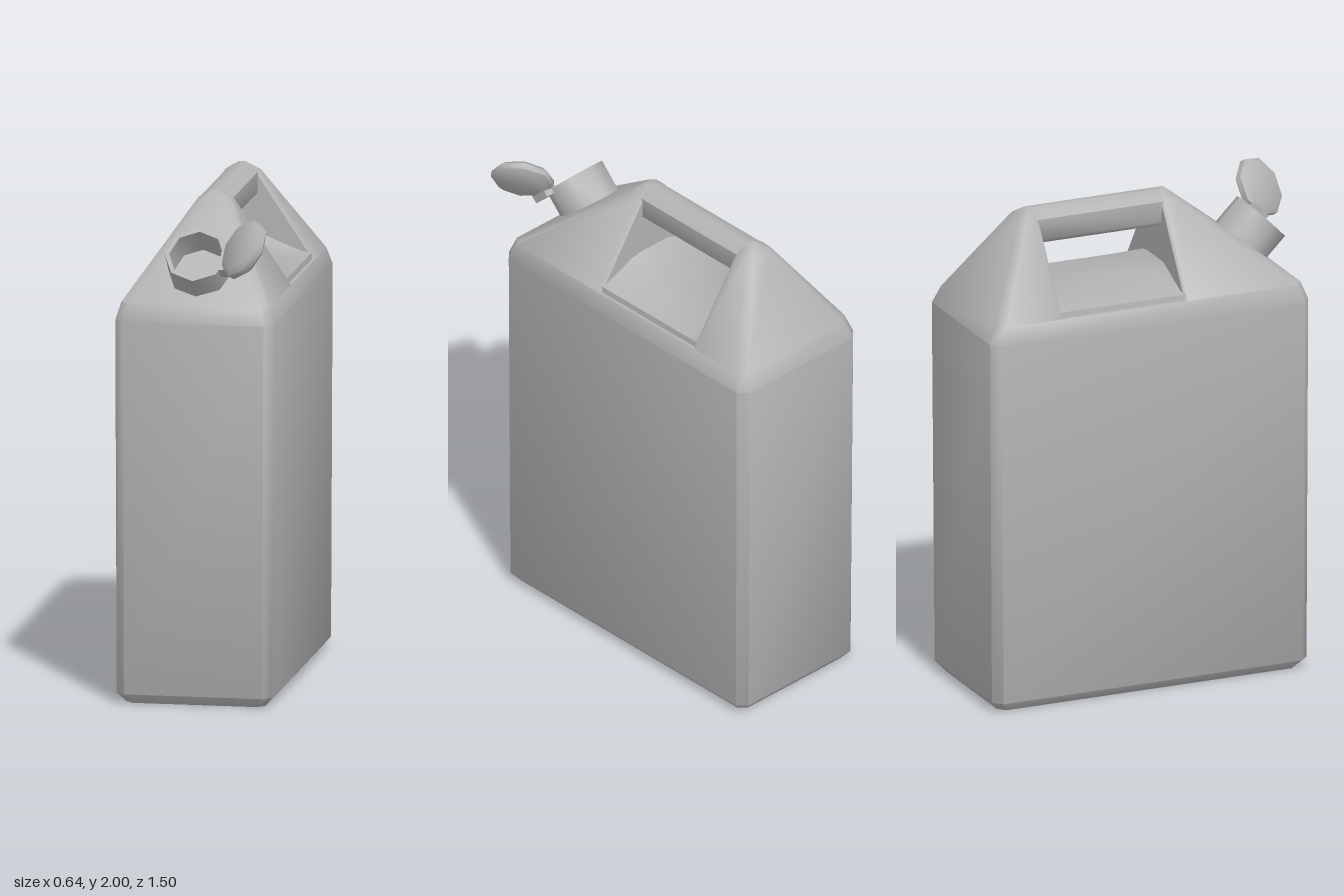
import * as THREE from 'three';
import { mergeGeometries, toCreasedNormals } from 'three/addons/utils/BufferGeometryUtils.js';

// Closed skin over rings of equal length, each counterclockwise seen from the far end
function loft(rings) {
  const n = rings[0].length, index = [];
  for (let r = 0; r < rings.length - 1; r++) {
    for (let i = 0; i < n; i++) {
      const a = r * n + i, b = r * n + (i + 1) % n;
      index.push(a, b, b + n, a, b + n, a + n);
    }
  }
  const last = (rings.length - 1) * n;
  for (let i = 1; i < n - 1; i++) {
    index.push(0, i + 1, i, last, last + i, last + i + 1);
  }
  const g = new THREE.BufferGeometry();
  g.setAttribute('position', new THREE.Float32BufferAttribute(rings.flat(2), 3));
  g.setIndex(index);
  return g;
}

// Horizontal rectangle with cut corners: half width, back z, front z, back cut, front cut
function ring(y, hx, z0, z1, cb, cf) {
  return [
    [hx, z1 - cf], [hx, z0 + cb], [hx - cb, z0], [cb - hx, z0],
    [-hx, z0 + cb], [-hx, z1 - cf], [cf - hx, z1], [hx - cf, z1],
  ].map(([x, z]) => [x, y, z]);
}

// Upright section: the right half from bottom to top, mirrored to the other side
function section(z, half) {
  const mirrored = half.filter(([x]) => x > 0).reverse().map(([x, y]) => [-x, y]);
  return [...half, ...mirrored].map(([x, y]) => [x, y, z]);
}

export function createModel() {
  const model = new THREE.Group();
  const grey = new THREE.MeshStandardMaterial({ color: 0xb3b3b3 });
  grey.name = 'grey plastic';
  const add = (name, geometry, crease = 0.85) => {
    const mesh = new THREE.Mesh(toCreasedNormals(geometry, crease), grey);
    mesh.name = name;
    model.add(mesh);
    return mesh;
  };

  // Tank with bevelled edges
  const tank = loft([
    ring(0, 0.28, -0.71, 0.59, 0.03, 0.03),
    ring(0.04, 0.315, -0.745, 0.625, 0.035, 0.035),
    ring(1.55, 0.32, -0.755, 0.63, 0.035, 0.035),
    ring(1.62, 0.3, -0.725, 0.605, 0.035, 0.035),
  ]);

  // Sloping shoulders in front of and behind the grip opening
  const inner = 0.012;
  const frontShoulder = loft([
    ring(1.62, 0.3, 0.09, 0.605, inner, 0.035),
    ring(1.965, 0.07, 0.09, 0.175, inner, 0.025),
    ring(2, 0.015, 0.09, 0.13, 0.006, 0.006),
  ]);
  const backShoulder = loft([
    ring(1.62, 0.3, -0.725, -0.445, 0.035, inner),
    ring(1.965, 0.07, -0.525, -0.445, 0.025, inner),
    ring(2, 0.015, -0.48, -0.445, 0.006, 0.006),
  ]);

  // Grip bar
  const grip = [[0.04, 1.858], [0.065, 1.88], [0.067, 1.965], [0.015, 2]];
  const handle = loft([section(-0.46, grip), section(0.1, grip)]);

  // Floor of the grip opening, ramped up at both ends
  const floorHalf = (y) => [[0.29, 1.6], [0.283, 1.643], [0.08, y]];
  const floor = loft([
    section(-0.455, floorHalf(1.725)), section(-0.405, floorHalf(1.68)),
    section(0.05, floorHalf(1.68)), section(0.1, floorHalf(1.725)),
  ]);
  add('canister', mergeGeometries([tank, frontShoulder, backShoulder, handle, floor]));

  // Hollow eight-sided spout, leaning forward
  const spoutProfile = [[0.128, -0.2], [0.128, 0], [0.11, 0], [0.105, -0.12], [0, -0.12]]
    .map(([r, y]) => new THREE.Vector2(r, y));
  const spout = add('spout', new THREE.LatheGeometry(spoutProfile, 8));
  spout.position.set(0, 1.818, 0.552);
  spout.rotation.x = Math.PI / 4;

  // Opened cap beside the spout
  const capProfile = [[0, -0.032], [0.1, -0.03], [0.126, -0.012], [0.126, 0.012], [0.1, 0.03], [0, 0.032]]
    .map(([r, y]) => new THREE.Vector2(r, y));
  const cap = add('cap', new THREE.LatheGeometry(capProfile, 8));
  cap.position.set(0.207, 1.862, 0.634);
  cap.quaternion.setFromUnitVectors(
    new THREE.Vector3(0, 1, 0), new THREE.Vector3(-0.69, 0.51, 0.51).normalize());

  // Strap between spout and cap
  const strap = add('strap', new THREE.BoxGeometry(0.06, 0.05, 0.09), 0.5);
  strap.position.set(0.135, 1.79, 0.585);
  strap.rotation.x = Math.PI / 4;

  return model;
}
